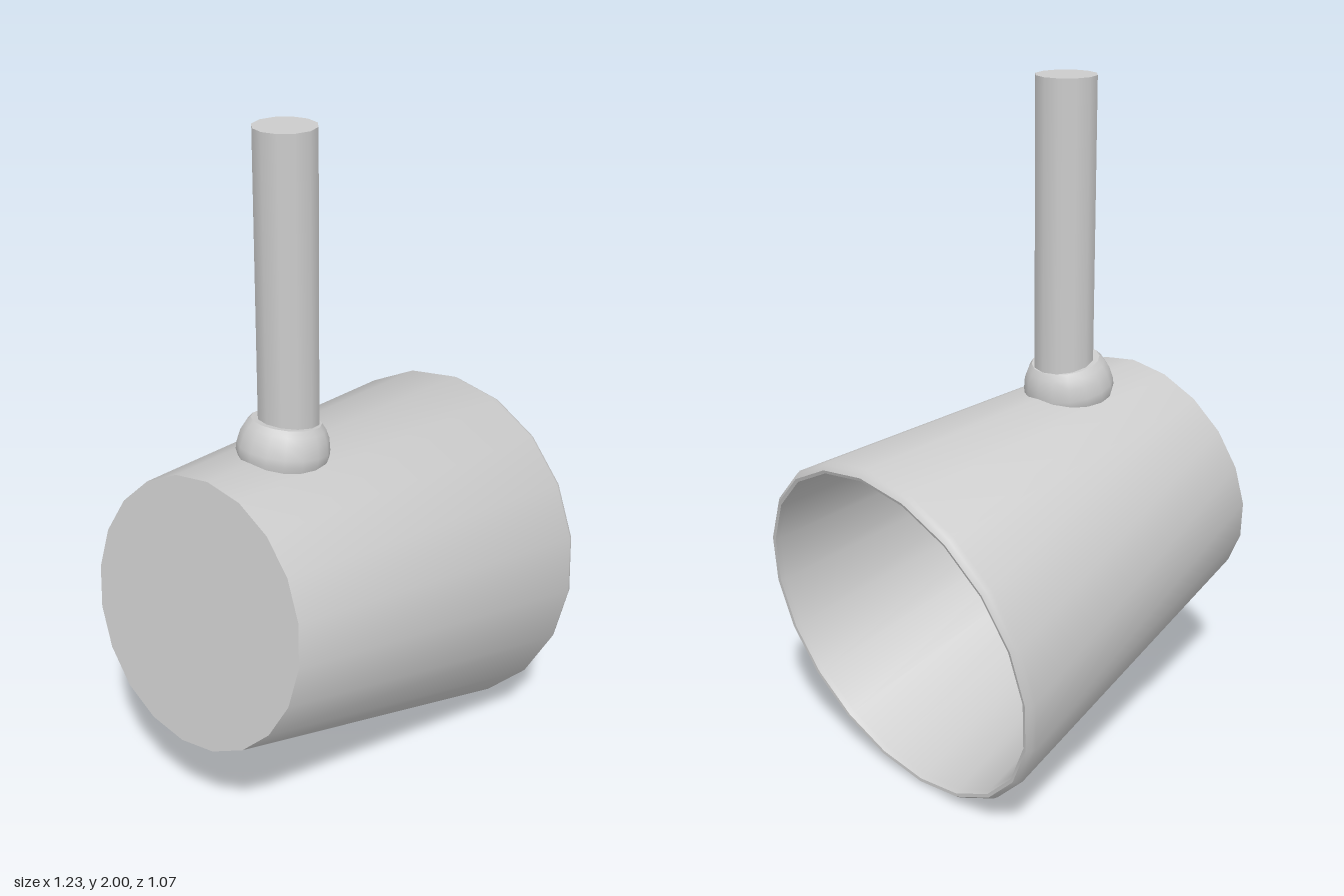
import * as THREE from 'three';
import { toCreasedNormals } from 'three/addons/utils/BufferGeometryUtils.js';

const TILT = THREE.MathUtils.degToRad(10.1);

// Revolved part with sharp edges kept sharp
function turned(name, profile, sides, material) {
  const points = profile.map(([r, y]) => new THREE.Vector2(r, y));
  const geometry = toCreasedNormals(new THREE.LatheGeometry(points, sides), 0.55);
  const mesh = new THREE.Mesh(geometry, material);
  mesh.name = name;
  return mesh;
}

export function createModel() {
  const material = new THREE.MeshStandardMaterial({ color: 0xcccccc });
  const model = new THREE.Group();
  model.name = 'spotlight';

  // Hollow tapered shade, closed at the back, open at the front, tipped downward
  const shade = turned('shade', [
    [0, 0], [0.391, 0], [0.533, 1.067], [0.529, 1.08], [0.518, 1.092],
    [0.508, 1.09], [0.503, 1.075], [0.365, 0.02], [0, 0.02],
  ], 20, material);
  shade.position.set(-0.55, 0.715, 0);
  shade.rotation.z = -Math.PI / 2 - TILT;
  model.add(shade);

  // Rounded collar on top of the shade, tilted with it
  const collar = turned('collar', [
    [0.12, -0.03], [0.132, 0], [0.132, 0.02], [0.125, 0.056],
    [0.113, 0.08], [0.1, 0.096], [0, 0.096],
  ], 16, material);
  collar.position.set(-0.19, 1.08, 0);
  collar.rotation.z = -TILT;
  model.add(collar);

  // Upright stem
  const stem = new THREE.Mesh(new THREE.CylinderGeometry(0.088, 0.088, 0.87, 12), material);
  stem.name = 'stem';
  stem.position.set(-0.165, 1.565, 0);
  model.add(stem);

  return model;
}
